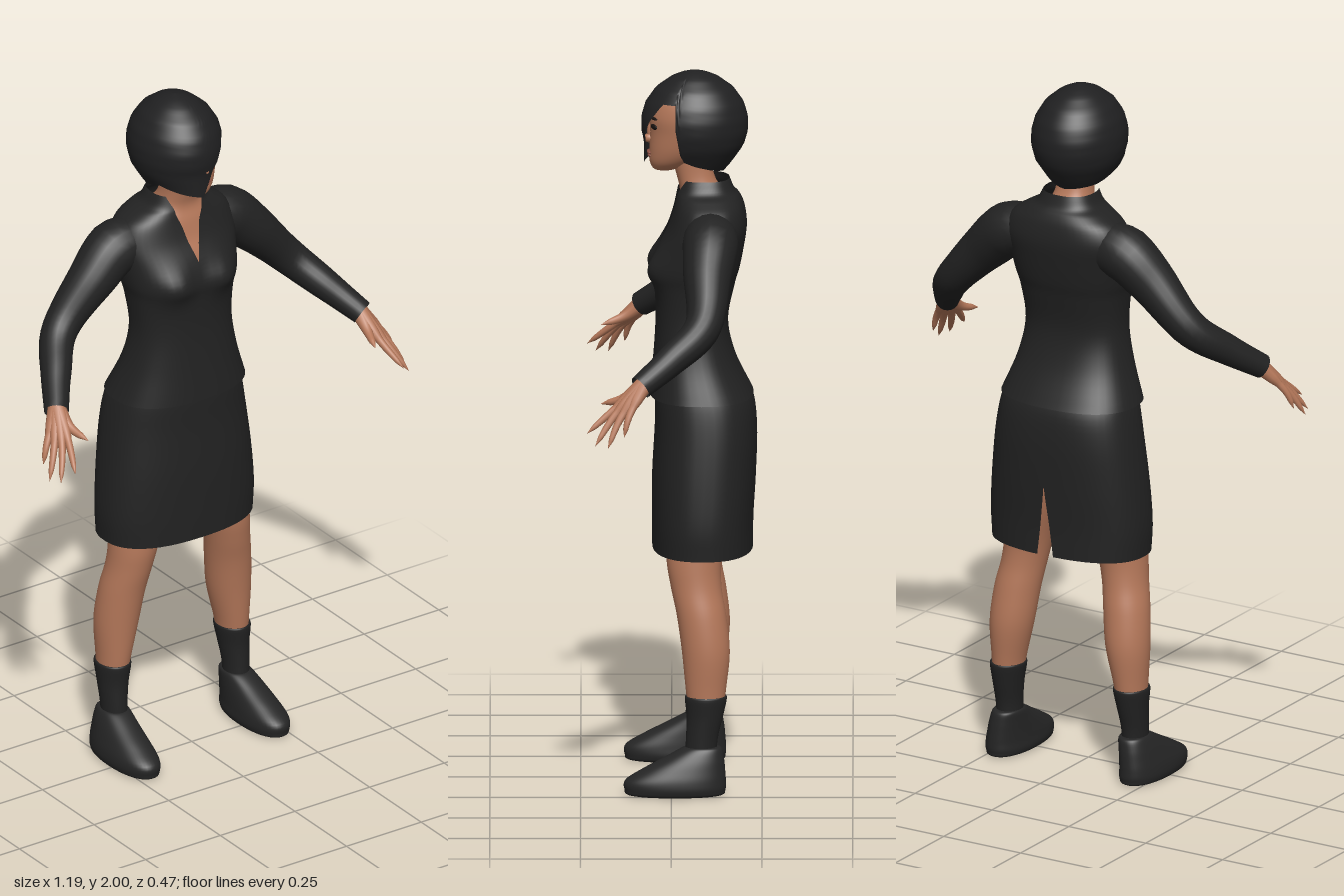
import * as THREE from 'three';
import { mergeVertices } from 'three/addons/utils/BufferGeometryUtils.js';

const flat = (color, side = THREE.FrontSide) => {
  const m = new THREE.MeshStandardMaterial({ color });
  m.side = side;
  return m;
};

// Weld seams and smooth
function smooth(geo) {
  geo.deleteAttribute('uv');
  geo.deleteAttribute('normal');
  const g = mergeVertices(geo, 1e-5);
  g.computeVertexNormals();
  return g;
}

// Surface grid: u runs around, v runs upward
function grid(nu, nv, fn) {
  const pos = [], idx = [];
  for (let j = 0; j <= nv; j++) for (let i = 0; i <= nu; i++) pos.push(...fn(i / nu, j / nv));
  for (let j = 0; j < nv; j++) for (let i = 0; i < nu; i++) {
    const a = j * (nu + 1) + i, c = a + nu + 1;
    idx.push(a, a + 1, c + 1, a, c + 1, c);
  }
  const g = new THREE.BufferGeometry();
  g.setAttribute('position', new THREE.Float32BufferAttribute(pos, 3));
  g.setIndex(idx);
  return smooth(g);
}

// Rows bottom to top: [y, cx, cz, rx, rz, gap]; the gap opens the ring around angle "start"
function loft(rows, { n = 2, start = 0, mirror = 1, warp = null } = {}) {
  const curve = new THREE.CubicInterpolant(rows.map((_, i) => i), rows.flatMap(r => [...r, 0].slice(0, 6)), 6);
  const pw = c => Math.sign(c) * Math.pow(Math.abs(c), 2 / n);
  return grid(48, (rows.length - 1) * 5, (u, v) => {
    const [y, cx, cz, rx, rz, g] = curve.evaluate(v * (rows.length - 1));
    const gap = Math.max(0, g), a = start + gap + u * (2 * Math.PI - 2 * gap);
    const p = [cx * mirror + rx * pw(Math.sin(a)), y, cz + rz * pw(Math.cos(a))];
    return warp ? warp(p) : p;
  });
}

// Tube along points with a radius that changes along its length
function limb(points, radii, mirror = 1, sides = 20) {
  const path = new THREE.CatmullRomCurve3(points.map(p => new THREE.Vector3(p[0] * mirror, p[1], p[2])));
  const seg = 30, g = new THREE.TubeGeometry(path, seg, 1, sides);
  const r = new THREE.LinearInterpolant(radii.map((_, i) => i / (radii.length - 1)), radii, 1);
  const pos = g.attributes.position, v = new THREE.Vector3();
  for (let i = 0; i <= seg; i++) {
    const c = path.getPointAt(i / seg), k = r.evaluate(i / seg)[0];
    for (let j = 0; j <= sides; j++) {
      const q = i * (sides + 1) + j;
      v.fromBufferAttribute(pos, q).sub(c).multiplyScalar(k).add(c);
      pos.setXYZ(q, v.x, v.y, v.z);
    }
  }
  return smooth(g);
}

function hairGeometry() {
  // Hem height by angle in degrees: 0 is the front, positive toward the model's left
  const hemRows = [[-180, 1.715], [-110, 1.73], [-60, 1.765], [-30, 1.75], [0, 1.735], [21, 1.83],
    [48, 1.92], [66, 1.92], [73, 1.76], [90, 1.745], [120, 1.73], [180, 1.715]];
  const hem = new THREE.LinearInterpolant(hemRows.map(r => r[0]), hemRows.map(r => r[1]), 1);
  const sizeRows = [[1.71, 0.5], [1.74, 0.68], [1.79, 0.92], [1.83, 1], [1.87, 1], [1.91, 0.92],
    [1.95, 0.73], [1.98, 0.45], [1.993, 0.24], [2, 0]];
  const size = new THREE.LinearInterpolant(sizeRows.map(r => r[0]), sizeRows.map(r => r[1]), 1);
  return grid(120, 28, (u, v) => {
    const deg = -180 + 360 * u, a = THREE.MathUtils.degToRad(deg);
    const low = hem.evaluate(deg)[0];
    const y = 2 - (2 - low) * Math.pow(1 - v, 1.7);
    let f = size.evaluate(y)[0];
    const front = Math.max(0, Math.cos(a)) ** 2;
    if (y < 1.87) f += (Math.max(f, 0.95) - f) * front;
    return [-0.012 + 0.128 * f * Math.sin(a), y, -0.064 + 0.147 * f * Math.cos(a)];
  });
}

export function createModel() {
  const root = new THREE.Group();
  const skin = flat(0xb5785a);
  const cloth = flat(0x222222, THREE.DoubleSide);
  const hair = flat(0x202021, THREE.DoubleSide);
  const shoe = flat(0x252525);
  const lip = flat(0x8c5044);
  const dark = flat(0x1a1412);
  const add = (name, geo, mat, parent = root) => {
    const m = new THREE.Mesh(geo, mat);
    m.name = name;
    parent.add(m);
    return m;
  };
  const blob = (name, mat, p, s, parent, turn = 0) => {
    const m = add(name, new THREE.SphereGeometry(1, 20, 14), mat, parent);
    m.position.set(...p);
    m.scale.set(...s);
    m.rotation.y = turn;
  };

  // Head and face
  const head = new THREE.Group();
  head.name = 'head';
  root.add(head);
  add('face', loft([
    [1.72, 0, 0.02, 0.002, 0.002], [1.724, 0, 0.018, 0.026, 0.03], [1.745, 0, 0, 0.052, 0.06],
    [1.78, 0, -0.02, 0.071, 0.081], [1.83, 0, -0.037, 0.083, 0.096], [1.88, 0, -0.043, 0.089, 0.103],
    [1.93, 0, -0.055, 0.08, 0.095], [1.97, 0, -0.06, 0.04, 0.05], [1.98, 0, -0.06, 0.002, 0.002],
  ]), skin, head);
  blob('nose', skin, [0, 1.81, 0.06], [0.013, 0.013, 0.018], head);
  blob('noseBridge', skin, [0, 1.83, 0.055], [0.009, 0.03, 0.012], head);
  blob('upperLip', lip, [0, 1.772, 0.06], [0.024, 0.005, 0.008], head);
  blob('lowerLip', lip, [0, 1.763, 0.058], [0.019, 0.006, 0.008], head);
  for (const s of [1, -1]) {
    blob('eye', dark, [0.04 * s, 1.85, 0.048], [0.018, 0.008, 0.005], head, 0.42 * s);
    blob('eyebrow', dark, [0.042 * s, 1.874, 0.049], [0.022, 0.004, 0.005], head, 0.42 * s);
  }
  add('hair', hairGeometry(), hair, head);

  // Neck and the chest seen in the open neckline
  add('neckAndChest', loft([
    [1.46, 0, -0.07, 0.13, 0.1], [1.52, 0, -0.083, 0.14, 0.103], [1.57, 0, -0.1, 0.155, 0.1],
    [1.62, 0, -0.1, 0.115, 0.088], [1.66, 0, -0.085, 0.066, 0.062], [1.7, 0, -0.068, 0.051, 0.052],
    [1.77, 0, -0.05, 0.05, 0.054],
  ], { n: 2.3 }), skin);

  // Jacket, open in a V at the front
  add('jacket', loft([
    [1.095, 0, -0.083, 0.204, 0.143], [1.2, 0, -0.063, 0.168, 0.113], [1.3, 0, -0.056, 0.15, 0.1],
    [1.4, 0, -0.064, 0.158, 0.11], [1.45, 0, -0.07, 0.17, 0.118], [1.51, 0, -0.083, 0.18, 0.117, 0],
    [1.57, 0, -0.1, 0.188, 0.108, 0.06], [1.62, 0, -0.104, 0.168, 0.097, 0.13], [1.65, 0, -0.1, 0.125, 0.088, 0.28],
    [1.668, 0, -0.093, 0.092, 0.08, 0.46], [1.7, 0, -0.09, 0.074, 0.07, 0.85],
  ], {
    n: 2.4,
    warp: ([x, y, z]) => {
      const bust = Math.exp(-(((Math.abs(x) - 0.08) / 0.055) ** 2) - ((y - 1.455) / 0.05) ** 2);
      return [x, y, z > -0.05 ? z + 0.026 * bust * Math.min(1, (z + 0.05) / 0.06) : z];
    },
  }), cloth);

  // Skirt with a slit at the back
  add('skirt', loft([
    [0.663, 0, -0.086, 0.235, 0.139, 0.07], [0.75, 0, -0.086, 0.239, 0.14, 0.035],
    [0.87, 0, -0.09, 0.23, 0.143, 0], [1.0, 0, -0.095, 0.214, 0.141, 0],
    [1.09, 0, -0.09, 0.197, 0.134, 0], [1.15, 0, -0.075, 0.175, 0.11, 0],
  ], { n: 2.4, start: Math.PI }), cloth);

  for (const s of [1, -1]) {
    const side = s > 0 ? 'left' : 'right';

    // Sleeve
    add(side + 'Sleeve', limb([
      [0.11, 1.56, -0.105], [0.185, 1.55, -0.108], [0.262, 1.487, -0.1],
      [0.385, 1.36, -0.085], [0.455, 1.285, 0], [0.512, 1.222, 0.085],
    ], [0.07, 0.078, 0.071, 0.062, 0.054, 0.049, 0.045, 0.039, 0.034], s), cloth);

    // Hand: each finger runs on from the wrist so that together they form the palm
    const hand = new THREE.Group();
    hand.name = side + 'Hand';
    root.add(hand);
    const wrist = [0.503, 1.232, 0.073];
    const fingers = {
      index: [[0.523, 1.16, 0.16], [0.55, 1.1, 0.233]],
      middle: [[0.543, 1.148, 0.157], [0.583, 1.072, 0.21]],
      ring: [[0.56, 1.142, 0.142], [0.597, 1.068, 0.175]],
      little: [[0.568, 1.148, 0.118], [0.587, 1.098, 0.13]],
    };
    for (const [name, pts] of Object.entries(fingers)) {
      add(name + 'Finger', limb([wrist, ...pts], [0.024, 0.022, 0.019, 0.016, 0.011, 0.01, 0.009, 0.007, 0], s, 10), skin, hand);
    }
    add('thumb', limb([wrist, [0.499, 1.19, 0.128], [0.48, 1.168, 0.196]], [0.022, 0.02, 0.016, 0.012, 0.009, 0], s, 10), skin, hand);

    // Leg, sock and shoe
    add(side + 'Leg', loft([
      [0.25, 0.2, -0.095, 0.042, 0.05], [0.3, 0.197, -0.095, 0.047, 0.056], [0.4, 0.188, -0.095, 0.061, 0.066],
      [0.5, 0.177, -0.083, 0.064, 0.068], [0.58, 0.163, -0.068, 0.063, 0.07], [0.66, 0.15, -0.063, 0.068, 0.077],
      [0.8, 0.125, -0.075, 0.08, 0.09], [1.0, 0.1, -0.085, 0.09, 0.1],
    ], { mirror: s }), skin);
    add(side + 'Sock', loft([
      [0.1, 0.203, -0.08, 0.034, 0.043], [0.16, 0.204, -0.084, 0.036, 0.044], [0.22, 0.202, -0.092, 0.042, 0.05],
      [0.274, 0.2, -0.095, 0.049, 0.058], [0.277, 0.2, -0.095, 0.04, 0.048],
    ], { mirror: s }), cloth);
    add(side + 'Shoe', loft([
      [0.003, 0.217, -0.01, 0.002, 0.002], [0.003, 0.217, -0.01, 0.05, 0.122], [0.018, 0.217, -0.01, 0.062, 0.139],
      [0.045, 0.217, -0.012, 0.061, 0.138], [0.075, 0.214, -0.035, 0.055, 0.113], [0.105, 0.21, -0.062, 0.048, 0.083],
      [0.132, 0.205, -0.084, 0.04, 0.055], [0.137, 0.205, -0.084, 0.03, 0.04],
    ], { n: 2.2, mirror: s }), shoe);
  }
  return root;
}
